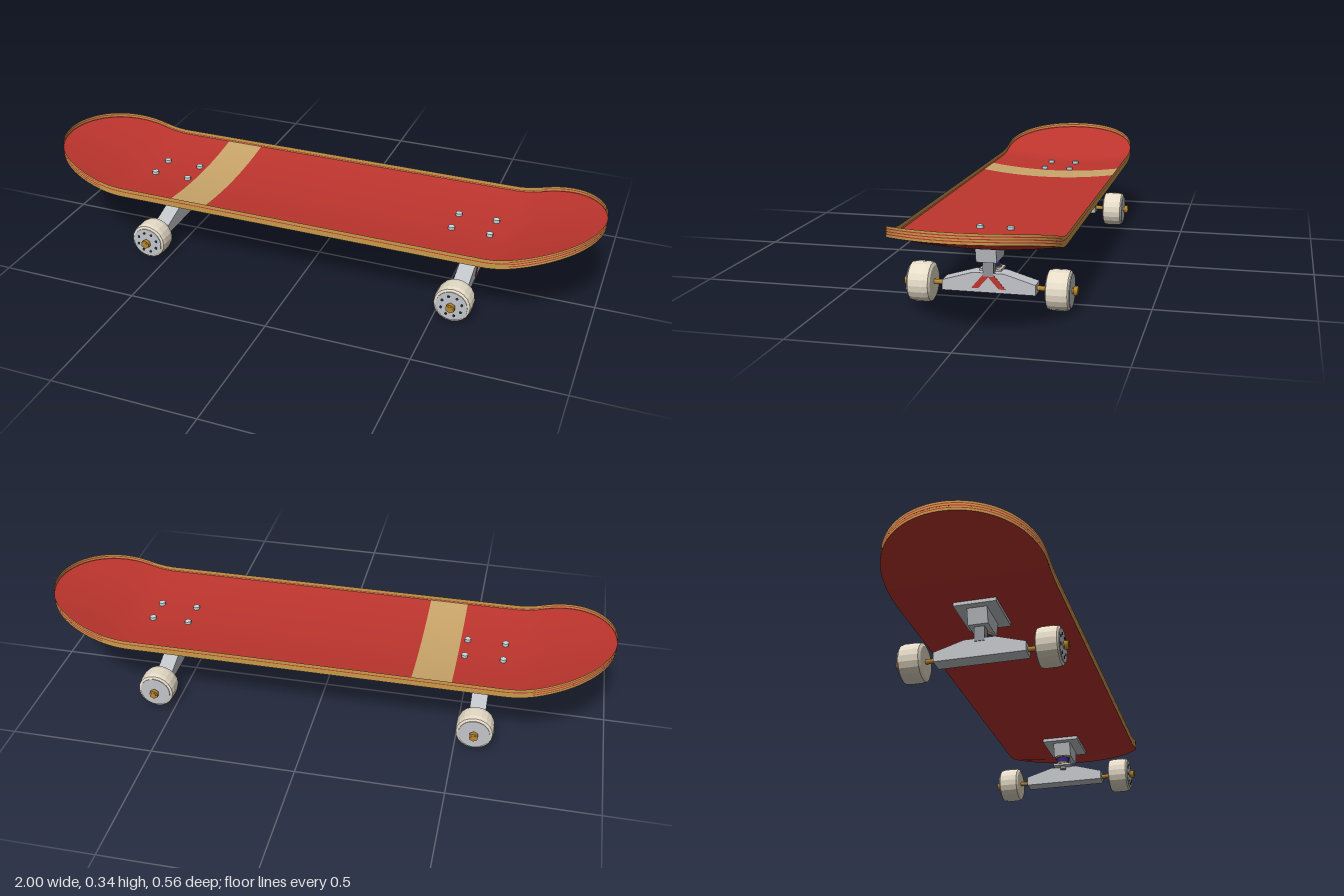
import * as THREE from 'three';

const mat = (name, color, side = THREE.FrontSide) => {
  const m = new THREE.MeshStandardMaterial({ color, side });
  m.name = name;
  return m;
};
const M = {
  red: mat('deck red', 0xbe352e, THREE.DoubleSide),
  tan: mat('stripe tan', 0xcba66a, THREE.DoubleSide),
  wood: mat('edge wood', 0xc99a4a, THREE.DoubleSide),
  metal: mat('truck grey', 0xc2c5ca),
  steel: mat('kingpin steel', 0x8f9298),
  cream: mat('wheel cream', 0xe6dcc8),
  gold: mat('nut gold', 0xb8862f),
  blue: mat('bushing blue', 0x26268c),
  silver: mat('screw silver', 0xc8dde0),
  dark: mat('bearing dark', 0x2a2c30),
};

const HALF = 0.26, THICK = 0.033, TRUCK_X = 0.565;

function add(parent, name, geo, material, x = 0, y = 0, z = 0) {
  const m = new THREE.Mesh(geo, material);
  m.name = name;
  m.position.set(x, y, z);
  parent.add(m);
  return m;
}
const box = (x, y, z) => new THREE.BoxGeometry(x, y, z);
const cyl = (r, h, n = 16) => new THREE.CylinderGeometry(r, r, h, n);
const cylZ = (r, h, n = 16) => cyl(r, h, n).rotateX(Math.PI / 2);
function facet(g) {
  const f = g.toNonIndexed();
  f.computeVertexNormals();
  return f;
}

// Underside height: kicked ends plus a gentle concave across the width
function deckY(x, z) {
  const d = Math.max(0, Math.abs(x) - 0.65);
  const kick = 0.317 * (d < 0.1 ? d * d / 0.2 : d - 0.05);
  return 0.217 + kick + 0.02 * (z / HALF) ** 2;
}
function halfWidth(x) {
  const d = Math.max(0, Math.abs(x) - (1 - HALF));
  return Math.sqrt(Math.max(0, HALF * HALF - d * d));
}

// Surface from a grid of points; p(i, j) gives each vertex
function grid(nu, nv, p) {
  const pos = [], idx = [];
  for (let i = 0; i <= nu; i++) for (let j = 0; j <= nv; j++) pos.push(...p(i / nu, j / nv));
  for (let i = 0; i < nu; i++) for (let j = 0; j < nv; j++) {
    const a = i * (nv + 1) + j, b = a + 1, c = a + nv + 1, d = c + 1;
    idx.push(a, b, c, b, d, c);
  }
  const g = new THREE.BufferGeometry();
  g.setAttribute('position', new THREE.Float32BufferAttribute(pos, 3));
  g.setIndex(idx);
  g.computeVertexNormals();
  return g;
}

// Deck skin between two x limits; sine spacing crowds stations at the tips
function skin(x0, x1, lift) {
  const t0 = Math.asin(x0), t1 = Math.asin(x1);
  return grid(Math.ceil((t1 - t0) * 32), 16, (u, v) => {
    const x = Math.sin(t0 + (t1 - t0) * u), z = (2 * v - 1) * halfWidth(x);
    return [x, deckY(x, z) + lift, z];
  });
}

// Point on the outline: right-hand tip arc, then straight side, etc.
function outline(t) {
  const arc = Math.PI * HALF, side = 2 * (1 - HALF), c = 1 - HALF;
  let s = t * 2 * (arc + side);
  if (s <= arc) return [c + HALF * Math.sin(s / HALF), HALF * -Math.cos(s / HALF)];
  s -= arc;
  if (s <= side) return [c - s, HALF];
  s -= side;
  if (s <= arc) return [-c - HALF * Math.sin(s / HALF), HALF * Math.cos(s / HALF)];
  return [-c + s - arc, -HALF];
}
function edgeBand(t0, t1, y0, y1, n) {
  return grid(n, 1, (u, v) => {
    const [x, z] = outline(t0 + (t1 - t0) * u);
    return [x, deckY(x, z) + y0 + (y1 - y0) * v, z];
  });
}

function makeDeck() {
  const deck = new THREE.Group();
  deck.name = 'deck';
  add(deck, 'underside', skin(-1, 1, 0), M.red);
  add(deck, 'topLeft', skin(-0.34, 1, 0.015), M.red);
  add(deck, 'topStripe', skin(-0.475, -0.34, 0.015), M.tan);
  add(deck, 'topRight', skin(-1, -0.475, 0.015), M.red);

  // Laminated edge: tips carry three thin red plies, sides carry one
  const arc = Math.PI * HALF, full = 2 * (arc + 2 * (1 - HALF));
  const tip = arc / full;
  const section = (t0, t1, plies, n) => {
    let y = 0;
    for (const p of plies) {
      add(deck, 'edgeWood', edgeBand(t0, t1, y, p - 0.0015, n), M.wood);
      add(deck, 'edgePly', edgeBand(t0, t1, p - 0.0015, p + 0.0015, n), M.red);
      y = p + 0.0015;
    }
    add(deck, 'edgeWood', edgeBand(t0, t1, y, THICK, n), M.wood);
  };
  for (const t of [0, 0.5]) {
    section(t, t + tip, [0.009, 0.017, 0.025], 40);
    section(t + tip, t + 0.5, [0.02], 60);
  }
  return deck;
}

// Wheel with chamfered tread; s is the outward z direction
function makeWheel(s) {
  const wheel = new THREE.Group();
  wheel.name = 'wheel';
  const profile = [[0, -0.038], [0.052, -0.038], [0.062, -0.033], [0.065, -0.018],
    [0.065, 0.018], [0.062, 0.033], [0.052, 0.038], [0, 0.038]].map(p => new THREE.Vector2(...p));
  add(wheel, 'tire', facet(new THREE.LatheGeometry(profile, 20).rotateX(Math.PI / 2)), M.cream);
  add(wheel, 'wheelFace', cylZ(0.054, 0.003, 20), M.metal, 0, 0, s * 0.038);
  if (s > 0) for (let i = 0; i < 8; i++) {
    const a = i * Math.PI / 4 + 0.3;
    add(wheel, 'bearingDot', cylZ(0.005, 0.002, 8), M.dark, 0.037 * Math.cos(a), 0.037 * Math.sin(a), 0.04);
  }
  add(wheel, 'axleNut', cylZ(0.016, 0.014, 6), M.gold, 0, 0, s * 0.051);
  add(wheel, 'axleTip', cylZ(0.009, 0.022, 12), M.gold, 0, 0, s * 0.048);
  return wheel;
}

// Truck; s is the outward x direction
function makeTruck(s) {
  const truck = new THREE.Group();
  truck.name = s > 0 ? 'leftTruck' : 'rightTruck';
  add(truck, 'baseplate', box(0.17, 0.012, 0.14), M.metal, 0, 0.211, 0);

  // Tapered mount under the baseplate
  const mount = new THREE.Shape([[-0.06, 0.206], [-0.045, 0.153], [0.05, 0.153], [0.06, 0.206]]
    .map(p => new THREE.Vector2(...p)));
  add(truck, 'mount', new THREE.ExtrudeGeometry(mount, { depth: 0.066, bevelEnabled: false }),
    M.metal, 0, 0, -0.033);

  // Kingpin with bushings and washers
  const kx = -s * 0.033;
  add(truck, 'kingpin', cyl(0.012, 0.07), M.steel, kx, 0.135, 0);
  add(truck, 'pivot', box(0.03, 0.055, 0.034), M.steel, s * 0.015, 0.13, 0);
  add(truck, 'bushing', cyl(0.024, 0.026), M.blue, kx, 0.134, 0);
  for (const y of [0.121, 0.149]) add(truck, 'washer', cyl(0.028, 0.006), M.gold, kx, y, 0);
  add(truck, 'bushingSeat', box(0.06, 0.008, 0.07), M.metal, kx * 0.8, 0.115, 0);

  // Hanger, a tapering beam across the board
  const beam = new THREE.Shape([[-0.15, 0.05], [0.15, 0.05], [0.15, 0.083], [0.05, 0.113],
    [-0.05, 0.113], [-0.15, 0.083]].map(p => new THREE.Vector2(...p)));
  const hanger = new THREE.ExtrudeGeometry(beam, { depth: 0.056, bevelEnabled: false });
  hanger.translate(0, 0, -0.028).rotateY(Math.PI / 2);
  add(truck, 'hanger', hanger, M.metal);

  // Painted chevron on one hanger
  if (s > 0) for (const k of [-1, 1]) {
    const bar = new THREE.Shape([[0, 0.109], [k * 0.016, 0.109], [k * 0.055, 0.063], [k * 0.033, 0.063],
      [0, 0.1]].map(p => new THREE.Vector2(...p)));
    const g = new THREE.ExtrudeGeometry(bar, { depth: 0.002, bevelEnabled: false });
    add(truck, 'chevron', g.rotateY(Math.PI / 2), M.red, 0.0275, 0, 0);
  }

  add(truck, 'axle', cylZ(0.008, 0.54, 12), M.gold, 0, 0.067, 0);
  for (const k of [-1, 1]) {
    const wheel = makeWheel(k);
    wheel.position.set(0, 0.066, k * 0.221);
    truck.add(wheel);
  }

  // Mounting screws through the deck
  for (const x of [-0.066, 0.066]) for (const z of [-0.05, 0.05]) {
    add(truck, 'screw', cyl(0.012, 0.034, 6), M.silver, x, 0.226 + (s * x > 0 ? 0.001 : 0), z);
  }
  truck.position.x = s * TRUCK_X;
  return truck;
}

export function createModel() {
  const model = new THREE.Group();
  model.name = 'skateboard';
  model.add(makeDeck(), makeTruck(1), makeTruck(-1));
  return model;
}
